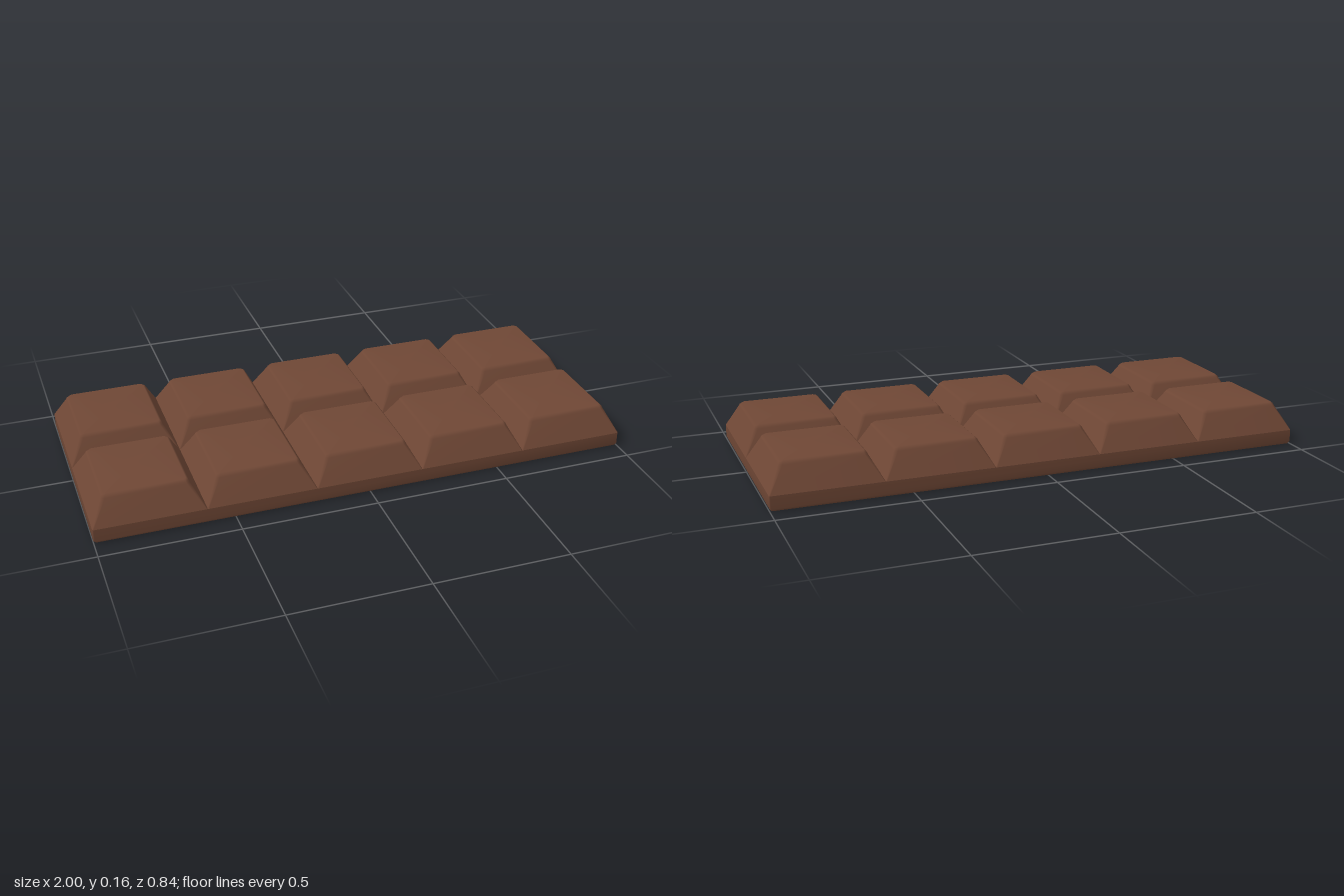
import * as THREE from 'three';

// Lofts chamfered rectangles, bottom to top. Each ring: [inset, y, cornerChamfer]
function loft(w, d, rings, bottomCap) {
  const pos = [], index = [];
  const addRing = ([inset, y, c]) => {
    const start = pos.length / 3, hx = w / 2 - inset, hz = d / 2 - inset;
    const corners = [
      [hx, c - hz], [hx - c, -hz], [c - hx, -hz], [-hx, c - hz],
      [-hx, hz - c], [c - hx, hz], [hx - c, hz], [hx, hz - c],
    ];
    for (const [x, z] of corners) pos.push(x, y, z);
    return start;
  };
  const addCap = (start, y, up) => {
    const centre = pos.length / 3;
    pos.push(0, y, 0);
    for (let i = 0; i < 8; i++) {
      const a = start + i, b = start + (i + 1) % 8;
      index.push(centre, up ? a : b, up ? b : a);
    }
  };
  const starts = rings.map(addRing);
  for (let r = 0; r < rings.length - 1; r++) {
    for (let i = 0; i < 8; i++) {
      const j = (i + 1) % 8;
      const a = starts[r] + i, b = starts[r] + j;
      const c = starts[r + 1] + j, e = starts[r + 1] + i;
      index.push(a, b, c, a, c, e);
    }
  }
  const last = rings[rings.length - 1];
  if (bottomCap) {
    // separate cap vertices keep the slab edges crisp
    addCap(addRing(rings[0]), rings[0][1], false);
    addCap(addRing(last), last[1], true);
  } else {
    addCap(starts[starts.length - 1], last[1], true);
  }
  const geometry = new THREE.BufferGeometry();
  geometry.setAttribute('position', new THREE.Float32BufferAttribute(pos, 3));
  geometry.setIndex(index);
  geometry.computeVertexNormals();
  return geometry;
}

export function createModel() {
  const model = new THREE.Group();
  model.name = 'chocolateBar';
  const chocolate = new THREE.MeshStandardMaterial({ color: 0x6f4735 });
  chocolate.name = 'milk chocolate';

  const columns = 5, rows = 2, cellX = 0.4, cellZ = 0.422;
  const slabTop = 0.055;

  // Thin slab under all the squares
  const slab = new THREE.Mesh(
    loft(columns * cellX, rows * cellZ, [
      [0.006, 0, 0.004], [0, 0.009, 0.004], [0, slabTop, 0.004],
    ], true), chocolate);
  slab.name = 'baseSlab';
  model.add(slab);

  // Sloped squares with softened top edges
  const squareGeometry = loft(cellX, cellZ, [
    [0, slabTop, 0.004], [0.046, 0.143, 0.012],
    [0.049, 0.15, 0.012], [0.057, 0.157, 0.01],
  ], false);
  for (let i = 0; i < columns; i++) {
    for (let j = 0; j < rows; j++) {
      const square = new THREE.Mesh(squareGeometry, chocolate);
      square.name = `square_${i + 1}_${j + 1}`;
      square.position.set((i - (columns - 1) / 2) * cellX, 0, (j - (rows - 1) / 2) * cellZ);
      model.add(square);
    }
  }
  return model;
}
